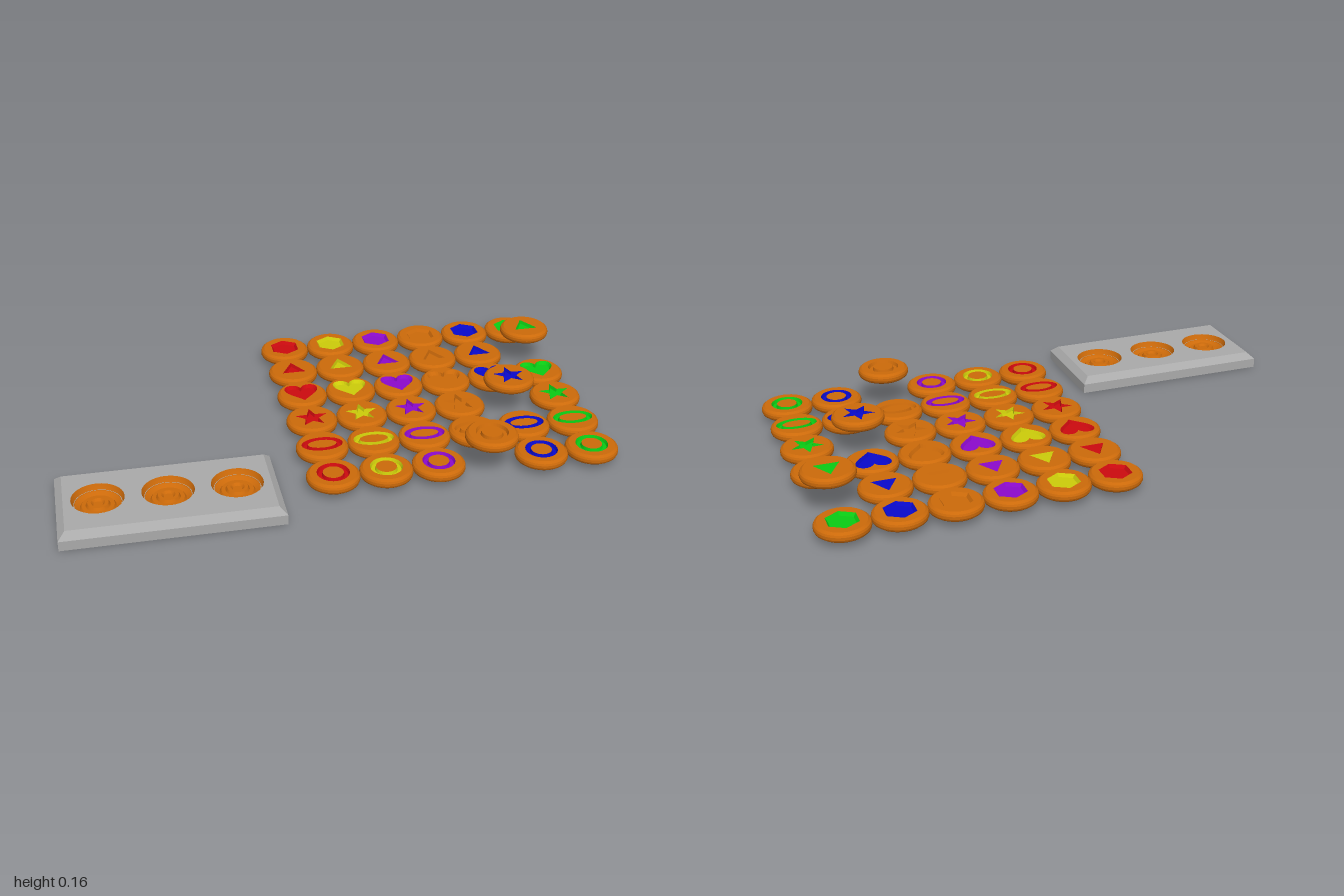
import * as THREE from 'three';
import { toCreasedNormals } from 'three/addons/utils/BufferGeometryUtils.js';

const mat = (name, color) => {
  const m = new THREE.MeshStandardMaterial({ color, side: THREE.DoubleSide });
  m.name = name;
  return m;
};
const V2 = (x, y) => new THREE.Vector2(x, y);
const TOP = 0.06, FLOOR = 0.048;

// Closed loops of 2D points (x, -z) joined into flat bands; each entry is { pts, y }
function loft(loops) {
  const pos = [];
  for (let k = 0; k + 1 < loops.length; k++) {
    const A = loops[k], B = loops[k + 1], n = A.pts.length;
    for (let i = 0; i < n; i++) {
      const j = (i + 1) % n;
      const p = (L, q) => [L.pts[q].x, L.y, -L.pts[q].y];
      pos.push(...p(A, i), ...p(A, j), ...p(B, j), ...p(A, i), ...p(B, j), ...p(B, i));
    }
  }
  const g = new THREE.BufferGeometry();
  g.setAttribute('position', new THREE.Float32BufferAttribute(pos, 3));
  g.computeVertexNormals();
  return g;
}

// Horizontal plate from an outline, with optional holes
function plate(pts, y, holes = []) {
  const s = new THREE.Shape(pts);
  holes.forEach((h) => s.holes.push(new THREE.Path(h)));
  return new THREE.ShapeGeometry(s).rotateX(-Math.PI / 2).translate(0, y, 0);
}

const lathe = (profile) =>
  toCreasedNormals(new THREE.LatheGeometry(profile.map(([r, y]) => V2(r, y)), 32), 0.4);

function ellipse(rx, ry = rx, n = 32, cx = 0, cy = 0, start = 0) {
  return Array.from({ length: n }, (_, i) => {
    const a = start + (i / n) * Math.PI * 2;
    return V2(cx + rx * Math.cos(a), cy + ry * Math.sin(a));
  });
}
const scaled = (pts, k) => pts.map((p) => p.clone().multiplyScalar(k));

function starPoints() {
  return Array.from({ length: 10 }, (_, i) => {
    const a = Math.PI / 2 + (i * Math.PI) / 5, r = i % 2 ? 0.026 : 0.062;
    return V2(r * Math.cos(a), r * Math.sin(a));
  });
}

function heartPoints() {
  const s = new THREE.Shape();
  s.moveTo(0, -0.06);
  s.bezierCurveTo(0.018, -0.034, 0.064, -0.005, 0.064, 0.028);
  s.bezierCurveTo(0.064, 0.066, 0.014, 0.07, 0, 0.036);
  s.bezierCurveTo(-0.014, 0.07, -0.064, 0.066, -0.064, 0.028);
  s.bezierCurveTo(-0.064, -0.005, -0.018, -0.034, 0, -0.06);
  return s.getPoints(8).slice(0, -1);
}

// Sunken symbol: painted recess, and the pierced face that surrounds it
function symbol(outer, inner) {
  const rim = ellipse(0.083);
  const floorPts = scaled(outer, inner ? 0.92 : 0.84);
  const loops = [{ pts: outer, y: TOP }, { pts: floorPts, y: FLOOR }];
  const faces = [plate(rim, TOP, [outer])];
  const paint = [];
  if (inner) {
    loops.push({ pts: scaled(inner, 1.08), y: FLOOR }, { pts: inner, y: TOP });
    faces.push(plate(inner, TOP));
  } else paint.push(plate(floorPts, FLOOR));
  paint.push(loft(loops));
  return { faces, paint };
}

export function createModel() {
  const root = new THREE.Group();
  const orange = mat('orange', 0xcc6a0a);
  const grey = mat('grey', 0xaaaaaa);
  const colors = [
    mat('red', 0xcc0a0f), mat('yellow', 0xcccc0a), mat('purple', 0x8c0acc),
    orange, mat('blue', 0x0a0acc), mat('green', 0x0acc14),
  ];
  const add = (parent, geo, material, name) => {
    const m = new THREE.Mesh(geo, material);
    m.name = name;
    parent.add(m);
    return m;
  };

  // Token body: rounded edge, stepped rings underneath
  const body = lathe([
    [0, 0.032], [0.016, 0.032], [0.024, 0.04], [0.036, 0.04], [0.042, 0.03],
    [0.056, 0.03], [0.064, 0.022], [0.083, 0.022], [0.092, 0.029], [0.095, 0.036],
    [0.095, 0.046], [0.092, 0.053], [0.083, TOP],
  ]);

  const rows = [
    ['hexagon', symbol(ellipse(0.059, 0.059, 6, 0, 0, Math.PI / 2))],
    ['triangle', symbol(ellipse(0.052, 0.052, 3, 0, 0, Math.PI / 2))],
    ['heart', symbol(heartPoints())],
    ['star', symbol(starPoints())],
    ['oval', symbol(ellipse(0.075, 0.044), ellipse(0.052, 0.026))],
    ['ring', symbol(ellipse(0.058), ellipse(0.037))],
  ];
  // Three tokens float one layer higher (column-row)
  const raised = ['3-5', '4-3', '5-1'];

  rows.forEach(([name, { faces, paint }], r) => {
    colors.forEach((color, c) => {
      const token = new THREE.Group();
      token.name = `${color.name} ${name} token`;
      add(token, body, orange, 'tokenBody');
      faces.forEach((g) => add(token, g, orange, 'tokenFace'));
      paint.forEach((g) => add(token, g, color, `${name}Symbol`));
      token.position.set(-0.046 + c * 0.1902, raised.includes(`${c}-${r}`) ? 0.096 : 0, -0.527 + r * 0.1908);
      root.add(token);
    });
  });

  // Tray: hollow shell with bevelled top edge, open underneath
  const tray = new THREE.Group();
  tray.name = 'tray';
  tray.position.set(-0.62, 0, 0.43);
  root.add(tray);
  const rect = (inset) => {
    const w = 0.38 - inset, d = 0.19 - inset;
    return [V2(-w, -d), V2(w, -d), V2(w, d), V2(-w, d)];
  };
  add(tray, loft([
    { pts: rect(0.025), y: 0.04 }, { pts: rect(0.025), y: 0 }, { pts: rect(0), y: 0 },
    { pts: rect(0), y: 0.036 }, { pts: rect(0.025), y: TOP },
  ]), grey, 'trayWalls');
  const cups = [-0.238, 0, 0.238];
  add(tray, plate(rect(0.025), TOP, cups.map((x) => ellipse(0.091, 0.091, 32, x, 0.005))), grey, 'trayTop');
  const under = plate(rect(0.025), 0, cups.map((x) => ellipse(0.08, 0.08, 32, x, 0.005)));
  add(tray, under.rotateX(Math.PI).translate(0, 0.04, -0.01), grey, 'trayUnderside');

  // Stepped round cups sunk into the tray
  const cup = lathe([
    [0.091, TOP], [0.085, 0.045], [0.08, 0.036], [0.062, 0.026], [0.056, 0.034],
    [0.042, 0.034], [0.036, 0.044], [0.024, 0.044], [0.016, 0.036], [0, 0.036],
  ]);
  cups.forEach((x) => add(tray, cup, orange, 'trayCup').position.set(x, 0, -0.005));

  return root;
}
